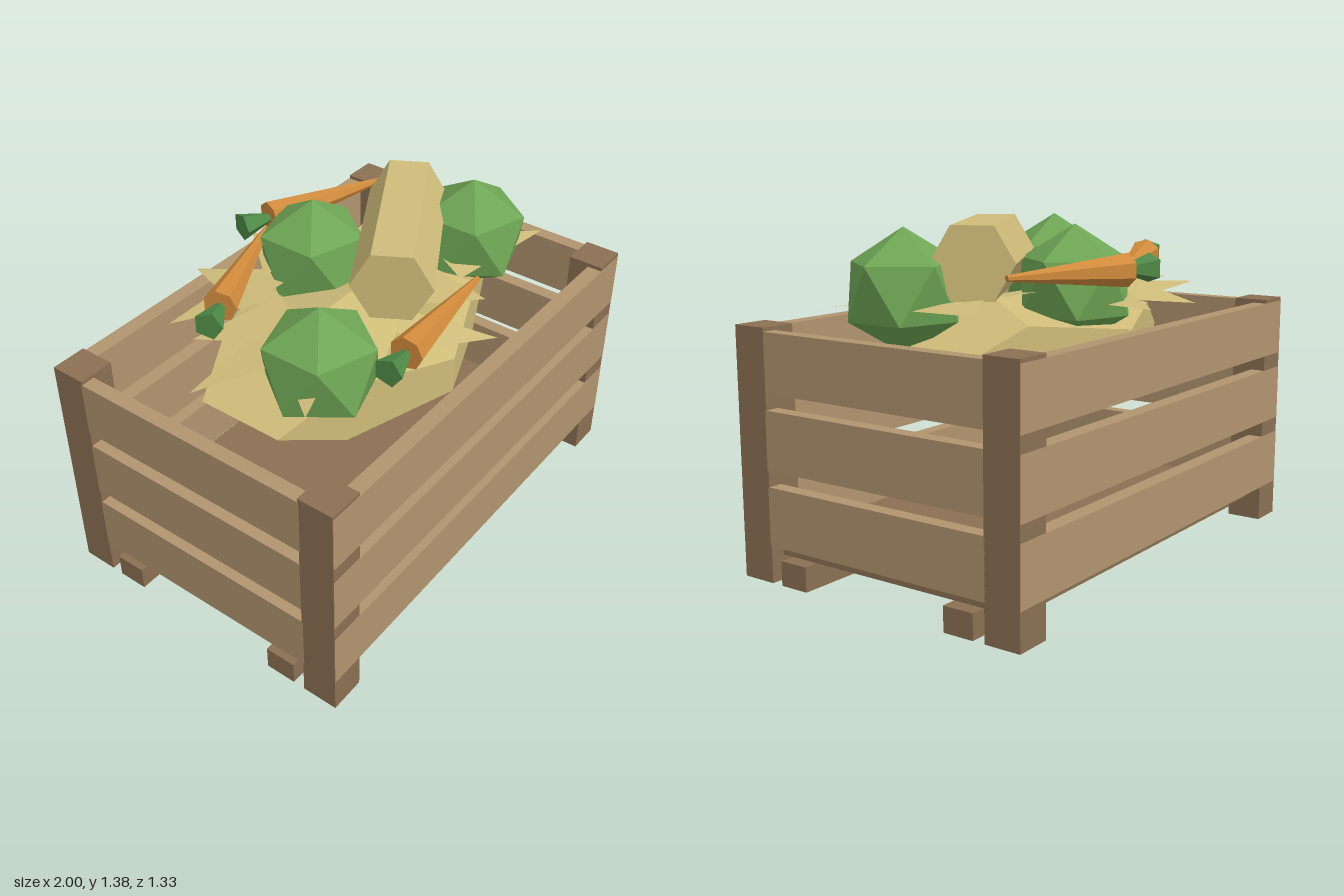
import * as THREE from 'three';

const material = (name, color, extra = {}) => {
  const m = new THREE.MeshStandardMaterial({ color, flatShading: true, ...extra });
  m.name = name;
  return m;
};

export function createModel() {
  const lightWood = material('lightWood', 0xb0946e);
  const darkWood = material('darkWood', 0x8b6f53);
  const straw = material('straw', 0xcfbc7a, { side: THREE.DoubleSide });
  const leafGreen = material('leafGreen', 0x6fa655);
  const stemGreen = material('stemGreen', 0x4f8a48);
  const orange = material('carrotOrange', 0xd08a3c);

  const model = new THREE.Group();
  model.name = 'vegetableCrate';
  const add = (name, geometry, mat, x = 0, y = 0, z = 0, parent = model) => {
    const mesh = new THREE.Mesh(geometry, mat);
    mesh.name = name;
    mesh.position.set(x, y, z);
    parent.add(mesh);
    return mesh;
  };
  const box = (name, w, h, d, mat, x, y, z) => add(name, new THREE.BoxGeometry(w, h, d), mat, x, y, z);

  // Crate: floor, runners, corner posts and three rows of slats
  box('floor', 1.88, 0.05, 1.2, darkWood, 0, 0.125, 0);
  for (const s of [-1, 1]) {
    box('runner', 2, 0.1, 0.13, darkWood, 0, 0.05, s * 0.4);
    for (const t of [-1, 1]) box('cornerPost', 0.15, 1, 0.15, darkWood, s * 0.925, 0.5, t * 0.59);
    for (const y of [0.267, 0.567, 0.867]) {
      box('longSlat', 1.998, 0.235, 0.065, lightWood, 0, y, s * 0.634);
      box('endSlat', 0.06, 0.235, 1.04, lightWood, s * 0.97, y, 0);
    }
  }

  // Straw mound
  const mound = new THREE.DodecahedronGeometry(1);
  mound.scale(0.76, 0.22, 0.52);
  add('strawMound', mound, straw, 0, 0.88, 0);

  // Loose straw blades: tip x, y, z, base x, z, base width
  const blades = [
    [-0.9, 1.11, -0.05, -0.5, 0.0, 0.25], [-0.62, 1.09, -0.42, -0.2, -0.3, 0.3],
    [-0.23, 1.05, -0.64, -0.2, -0.25, 0.42], [0.12, 1.06, -0.64, -0.02, -0.28, 0.3],
    [0.77, 1.08, -0.29, 0.6, -0.04, 0.32], [0.86, 1.07, 0.36, 0.4, 0.15, 0.3],
    [0.12, 1.04, 0.6, -0.12, 0.3, 0.24], [-0.77, 1.12, 0.37, -0.4, 0.1, 0.25],
    [0.25, 1.09, 0.46, 0.15, 0.12, 0.35], [-0.65, 1.1, -0.27, -0.3, -0.05, 0.4],
    [-0.33, 1.07, 0.37, 0.1, 0.3, 0.16], [0.5, 1.12, -0.25, 0.1, -0.05, 0.35],
  ];
  for (const [tx, ty, tz, bx, bz, w] of blades) {
    const length = Math.hypot(tx - bx, tz - bz);
    const px = -(tz - bz) / length * w / 2, pz = (tx - bx) / length * w / 2;
    const blade = new THREE.BufferGeometry().setFromPoints([
      new THREE.Vector3(tx, ty, tz),
      new THREE.Vector3(bx + px, 1.07, bz + pz),
      new THREE.Vector3(bx - px, 1.11, bz - pz),
    ]);
    blade.computeVertexNormals();
    add('strawBlade', blade, straw);
  }

  // Hexagonal straw bundle lying across the mound
  const bundle = add('strawBundle', new THREE.CylinderGeometry(0.163, 0.163, 0.74, 6), straw, 0.23, 1.238, 0.06);
  bundle.rotation.set(0, Math.PI / 6, Math.PI / 2);

  // Cabbages with one corner straight up
  const cabbage = new THREE.IcosahedronGeometry(0.245);
  cabbage.rotateX(-Math.atan((1 + Math.sqrt(5)) / 2));
  cabbage.rotateY(Math.PI / 2);
  for (const [x, z] of [[-0.495, 0.22], [0.6, 0.165], [0.075, -0.265]]) {
    add('cabbage', cabbage, leafGreen, x, 1.122, z);
  }

  // Carrots: x, z of the thick end, then x, z of the tip
  const carrots = [
    [-0.35, 0.495, 0.21, 0.44], [-0.53, -0.23, 0.0, -0.45], [0.075, -0.5, 0.6, -0.32],
  ];
  for (const [x, z, tx, tz] of carrots) {
    const length = Math.hypot(tx - x, tz - z);
    const carrot = new THREE.Group();
    carrot.name = 'carrot';
    carrot.position.set(x, 1.2, z);
    carrot.rotation.set(0, Math.atan2(z - tz, tx - x), -Math.PI / 2);
    add('carrotRoot', new THREE.CylinderGeometry(0.012, 0.068, length, 7), orange, 0, length / 2, 0, carrot);
    add('carrotTop', new THREE.CylinderGeometry(0.02, 0.06, 0.13, 5), stemGreen, 0, -0.065, 0, carrot);
    model.add(carrot);
  }
  return model;
}
